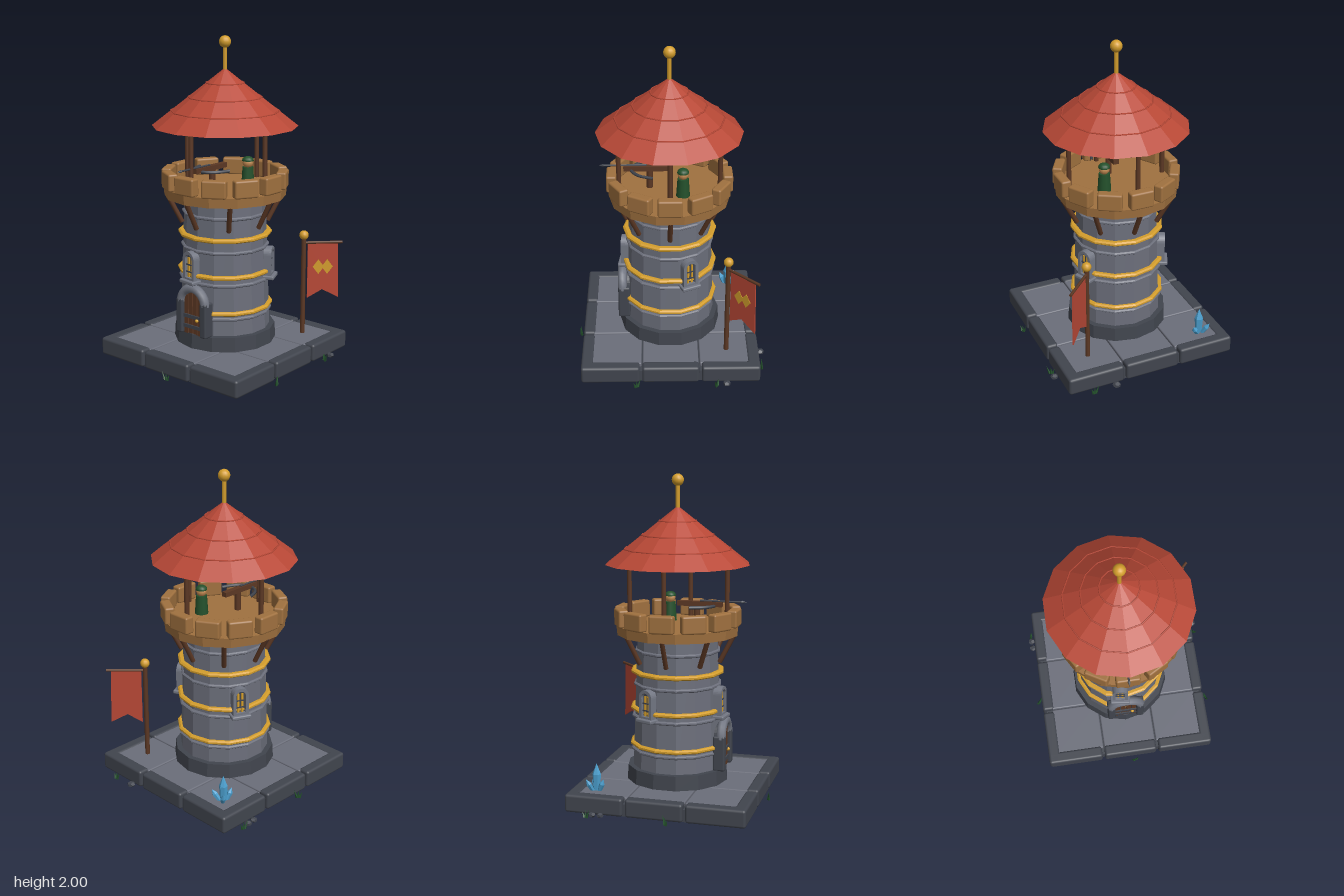
import * as THREE from 'three';
import { RoundedBoxGeometry } from 'three/addons/geometries/RoundedBoxGeometry.js';

const SIDES = 14;

function colour(name, hex) {
  const m = new THREE.MeshStandardMaterial({ color: hex });
  m.name = name;
  return m;
}

// Faceted normals
function flat(geo) {
  const g = geo.index ? geo.toNonIndexed() : geo;
  g.computeVertexNormals();
  return g;
}

export function createModel() {
  const M = {
    stone: colour('stone', 0x6b6e7a),
    dark: colour('darkStone', 0x41454e),
    trim: colour('trimStone', 0x737783),
    wood: colour('darkWood', 0x5c3824),
    plank: colour('plankWood', 0xa0713f),
    red: colour('red', 0xb84836),
    gold: colour('gold', 0xd39d2c),
    crystal: colour('crystalBlue', 0x4b9fce),
    green: colour('green', 0x23502b),
    skin: colour('skin', 0xc08850),
  };
  const model = new THREE.Group();
  model.name = 'watchtower';

  const add = (parent, name, geo, mat, x = 0, y = 0, z = 0) => {
    const m = new THREE.Mesh(geo, mat);
    m.name = name;
    m.position.set(x, y, z);
    parent.add(m);
    return m;
  };
  const group = (name, parent = model) => {
    const g = new THREE.Group();
    g.name = name;
    parent.add(g);
    return g;
  };
  const box = (w, h, d) => new THREE.BoxGeometry(w, h, d);
  const rbox = (w, h, d, r = 0.012) => new RoundedBoxGeometry(w, h, d, 2, r);
  const drum = (top, bottom, h) => flat(new THREE.CylinderGeometry(top, bottom, h, SIDES));
  // Round bar between two points
  const bar = (parent, name, a, b, r, mat) => {
    const p = new THREE.Vector3(...a), q = new THREE.Vector3(...b);
    const m = add(parent, name, new THREE.CylinderGeometry(r, r, p.distanceTo(q), 8), mat);
    m.position.copy(p).add(q).multiplyScalar(0.5);
    m.quaternion.setFromUnitVectors(new THREE.Vector3(0, 1, 0), q.sub(p).normalize());
    return m;
  };

  // Paved base: nine blocks, border stones and inset tiles
  const base = group('base');
  add(base, 'baseCore', box(1.06, 0.075, 1.06), M.dark, 0, 0.0475, 0);
  for (const s of [-1, 1]) {
    for (let i = -1; i <= 1; i++) {
      const len = i ? 0.36 : 0.35;
      add(base, 'borderStone', rbox(len, 0.11, 0.075, 0.016), M.dark, i * 0.372, 0.065, s * 0.515);
      add(base, 'borderStone', rbox(0.075, 0.11, len, 0.016), M.dark, s * 0.515, 0.065, i * 0.372);
    }
  }
  for (let i = -1; i <= 1; i++) {
    for (let j = -1; j <= 1; j++) {
      add(base, 'pavingTile', rbox(i ? 0.31 : 0.345, 0.03, j ? 0.31 : 0.345, 0.008), M.stone, i * 0.335, 0.098, j * 0.335);
    }
  }

  // Tower body
  const tower = group('tower');
  add(tower, 'plinth', drum(0.312, 0.318, 0.09), M.dark, 0, 0.16, 0);
  add(tower, 'towerWall', drum(0.25, 0.28, 0.85), M.stone, 0, 0.61, 0);
  const ring = (name, y, r, h, mat) => {
    const profile = [[0.23, -1], [r - h * 0.4, -1], [r, -0.4], [r, 0.4], [r - h * 0.4, 1], [0.23, 1]]
      .map(([x, t]) => new THREE.Vector2(x, t * h / 2));
    add(tower, name, flat(new THREE.LatheGeometry(profile, SIDES)), mat, 0, y, 0);
  };
  [[0.31, 0.29], [0.52, 0.286], [0.72, 0.274], [0.93, 0.266]].forEach(([y, r]) => ring('stoneCourse', y, r, 0.022, M.stone));
  [[0.345, 0.297], [0.57, 0.294], [0.8, 0.291]].forEach(([y, r]) => ring('goldBand', y, r, 0.026, M.gold));

  // Arched outline standing on y = 0
  const arch = (w, h) => {
    const s = new THREE.Shape();
    s.moveTo(-w, 0);
    s.lineTo(w, 0);
    s.lineTo(w, h - w);
    s.absarc(0, h - w, w, 0, Math.PI, false);
    s.closePath();
    return s;
  };
  const slab = (shape, depth) => new THREE.ExtrudeGeometry(shape, { depth, bevelEnabled: false, curveSegments: 8 });

  // Door
  const door = group('door');
  add(door, 'doorBacking', slab(arch(0.085, 0.285), 0.05), M.dark, 0, 0.2, 0.245);
  [-0.054, -0.018, 0.018, 0.054].forEach((x) => {
    const h = Math.abs(x) > 0.04 ? 0.25 : 0.275;
    add(door, 'doorPlank', box(0.029, h, 0.02), M.wood, x, 0.2 + h / 2, 0.295);
  });
  [0.25, 0.315].forEach((y) => add(door, 'doorStrap', box(0.14, 0.022, 0.01), M.dark, 0, y, 0.308));
  add(door, 'doorKnob', new THREE.SphereGeometry(0.011, 10, 8), M.gold, 0.042, 0.3, 0.315);
  for (const s of [-1, 1]) add(door, 'doorJamb', rbox(0.05, 0.22, 0.075), M.dark, s * 0.095, 0.31, 0.29);
  add(door, 'doorArch', new THREE.TorusGeometry(0.095, 0.029, 8, 14, Math.PI), M.trim, 0, 0.4, 0.3);

  // Three windows round the wall
  for (const deg of [-7, 115, 245]) {
    const w = group('window');
    w.rotation.y = THREE.MathUtils.degToRad(deg);
    const frame = arch(0.05, 0.185);
    frame.holes.push(new THREE.Path(arch(0.03, 0.145).getPoints(8).map((p) => p.setY(p.y + 0.02))));
    add(w, 'windowFrame', slab(frame, 0.06), M.trim, 0, 0.535, 0.245);
    add(w, 'windowPane', slab(arch(0.035, 0.155), 0.04), M.dark, 0, 0.55, 0.245);
    for (const x of [-0.013, 0.013]) add(w, 'windowBar', box(0.012, 0.125, 0.008), M.gold, x, 0.618, 0.288);
    for (const y of [0.59, 0.635]) add(w, 'windowCrossbar', box(0.06, 0.008, 0.01), M.dark, 0, y, 0.29);
    add(w, 'windowSill', rbox(0.125, 0.025, 0.08, 0.008), M.trim, 0, 0.53, 0.285);
  }

  // Lookout deck, struts and battlements
  const deck = group('deck');
  add(deck, 'deckFloor', drum(0.38, 0.374, 0.06), M.plank, 0, 1.057, 0);
  for (let i = 0; i < 8; i++) {
    const a = i * Math.PI / 4, s = Math.sin(a), c = Math.cos(a);
    bar(deck, 'strut', [0.265 * s, 0.86, 0.265 * c], [0.355 * s, 1.035, 0.355 * c], 0.015, M.wood);
  }
  for (let i = 0; i < 12; i++) {
    const g = group('battlement', deck);
    g.rotation.y = i * Math.PI / 6;
    add(g, 'battlementBlock', rbox(0.148, 0.108, 0.062), M.plank, 0, 1.138, 0.354);
  }

  // Roof on four posts
  const roof = group('roof');
  for (let i = 0; i < 4; i++) {
    const a = i * Math.PI / 2, x = 0.31 * Math.sin(a), z = 0.31 * Math.cos(a);
    bar(roof, 'roofPost', [x, 1.08, z], [x, 1.47, z], 0.015, M.wood);
  }
  add(roof, 'roofCone', flat(new THREE.ConeGeometry(0.445, 0.35, SIDES)), M.red, 0, 1.633, 0);
  for (const r of [0.115, 0.223, 0.329]) {
    const g = new THREE.TorusGeometry(r, 0.005, 5, SIDES).rotateX(Math.PI / 2).rotateY(Math.PI / 2);
    add(roof, 'roofRidge', g, M.red, 0, 1.808 - r * 0.35 / 0.445, 0);
  }
  bar(roof, 'finialRod', [0, 1.79, 0], [0, 1.95, 0], 0.013, M.gold);
  add(roof, 'finialBall', new THREE.SphereGeometry(0.037, 14, 10), M.gold, 0, 1.963, 0);

  // Mounted crossbow
  const bow = group('crossbow');
  bar(bow, 'crossbowStand', [0, 1.08, 0.12], [0, 1.205, 0.12], 0.02, M.wood);
  add(bow, 'crossbowStock', box(0.035, 0.03, 0.28), M.wood, 0, 1.217, 0.14);
  const limbs = new THREE.CatmullRomCurve3([[-0.12, 0.1], [-0.08, 0.19], [0, 0.235], [0.08, 0.19], [0.12, 0.1]]
    .map(([x, z]) => new THREE.Vector3(x, 1.207, z)));
  add(bow, 'crossbowLimbs', new THREE.TubeGeometry(limbs, 16, 0.01, 6), M.dark);
  bar(bow, 'crossbowBolt', [0, 1.236, 0.14], [0, 1.236, 0.41], 0.006, M.dark);
  const tip = add(bow, 'boltTip', new THREE.ConeGeometry(0.01, 0.03, 6), M.dark, 0, 1.236, 0.415);
  tip.rotation.x = Math.PI / 2;

  // Guard on the deck
  const guard = group('guard');
  guard.position.set(0.115, 0, -0.08);
  add(guard, 'guardBody', new THREE.CylinderGeometry(0.034, 0.042, 0.12, 10), M.green, 0, 1.145, 0);
  add(guard, 'guardHead', new THREE.SphereGeometry(0.033, 12, 8), M.skin, 0, 1.23, 0);
  add(guard, 'guardCap', new THREE.SphereGeometry(0.036, 12, 5, 0, Math.PI * 2, 0, Math.PI / 2).scale(1, 0.7, 1), M.green, 0, 1.245, 0);
  add(guard, 'guardCapBase', new THREE.CylinderGeometry(0.036, 0.036, 0.005, 12), M.green, 0, 1.244, 0);

  // Banner on a pole
  const banner = group('banner');
  banner.position.set(0.35, 0, -0.35);
  banner.rotation.y = Math.PI / 4;
  bar(banner, 'bannerPole', [0, 0.11, 0], [0, 0.74, 0], 0.015, M.wood);
  add(banner, 'poleBall', new THREE.SphereGeometry(0.03, 12, 8), M.gold, 0, 0.757, 0);
  bar(banner, 'bannerCrossbar', [-0.01, 0.707, 0], [0.245, 0.707, 0], 0.009, M.wood);
  const polygon = (pts) => new THREE.Shape(pts.map(([x, y]) => new THREE.Vector2(x, y)));
  add(banner, 'bannerCloth', slab(polygon([[0.025, 0.7], [0.025, 0.345], [0.12, 0.4], [0.225, 0.345], [0.215, 0.7]]), 0.008), M.red, 0, 0, -0.004);
  for (const x of [0.094, 0.15]) {
    add(banner, 'bannerDiamond', slab(polygon([[-0.036, 0], [0, -0.048], [0.036, 0], [0, 0.048]]), 0.004), M.gold, x, 0.55, 0.003);
  }

  // Crystal cluster: base position, lean direction, length and radius
  const crystals = group('crystals');
  [[-0.395, -0.4, 0, 0, 0.17, 0.027], [-0.41, -0.42, -0.45, -0.4, 0.09, 0.017],
    [-0.38, -0.415, 0.65, -0.35, 0.085, 0.018], [-0.405, -0.38, -0.15, 0.4, 0.085, 0.017]]
    .forEach(([x, z, dx, dz, h, r]) => {
      const profile = [[0, 0], [r * 0.75, 0], [r, h * 0.6], [0, h]].map(([a, b]) => new THREE.Vector2(a, b));
      const c = add(crystals, 'crystal', flat(new THREE.LatheGeometry(profile, 6)), M.crystal, x, 0.11, z);
      c.quaternion.setFromUnitVectors(new THREE.Vector3(0, 1, 0), new THREE.Vector3(dx, 1, dz).normalize());
    });

  // Rocks and grass round the base
  [[0.255, -0.575, 0.026], [-0.575, -0.37, 0.023], [-0.573, -0.32, 0.022], [0.573, -0.345, 0.024]].forEach(([x, z, r], i) => {
    const rock = add(model, 'rock', flat(new THREE.DodecahedronGeometry(r)), M.dark, x, 0.018, z);
    rock.scale.y = 0.7;
    rock.rotation.y = i;
  });
  [[0.4, -0.575], [-0.577, -0.41], [0.572, -0.285], [-0.575, 0.08], [0.577, 0.21], [0.028, 0.578]].forEach(([x, z], i) => {
    const tuft = group('grassTuft');
    tuft.position.set(x, 0, z);
    tuft.rotation.y = i * 1.3;
    for (let k = 0; k < 3; k++) {
      const blade = new THREE.ConeGeometry(0.009, 0.055 - 0.008 * k, 4).translate(0, 0.026 - 0.004 * k, 0);
      const b = add(tuft, 'grassBlade', flat(blade), M.green, (k - 1) * 0.009, 0, 0);
      b.rotation.z = (1 - k) * 0.35;
    }
  });

  return model;
}
